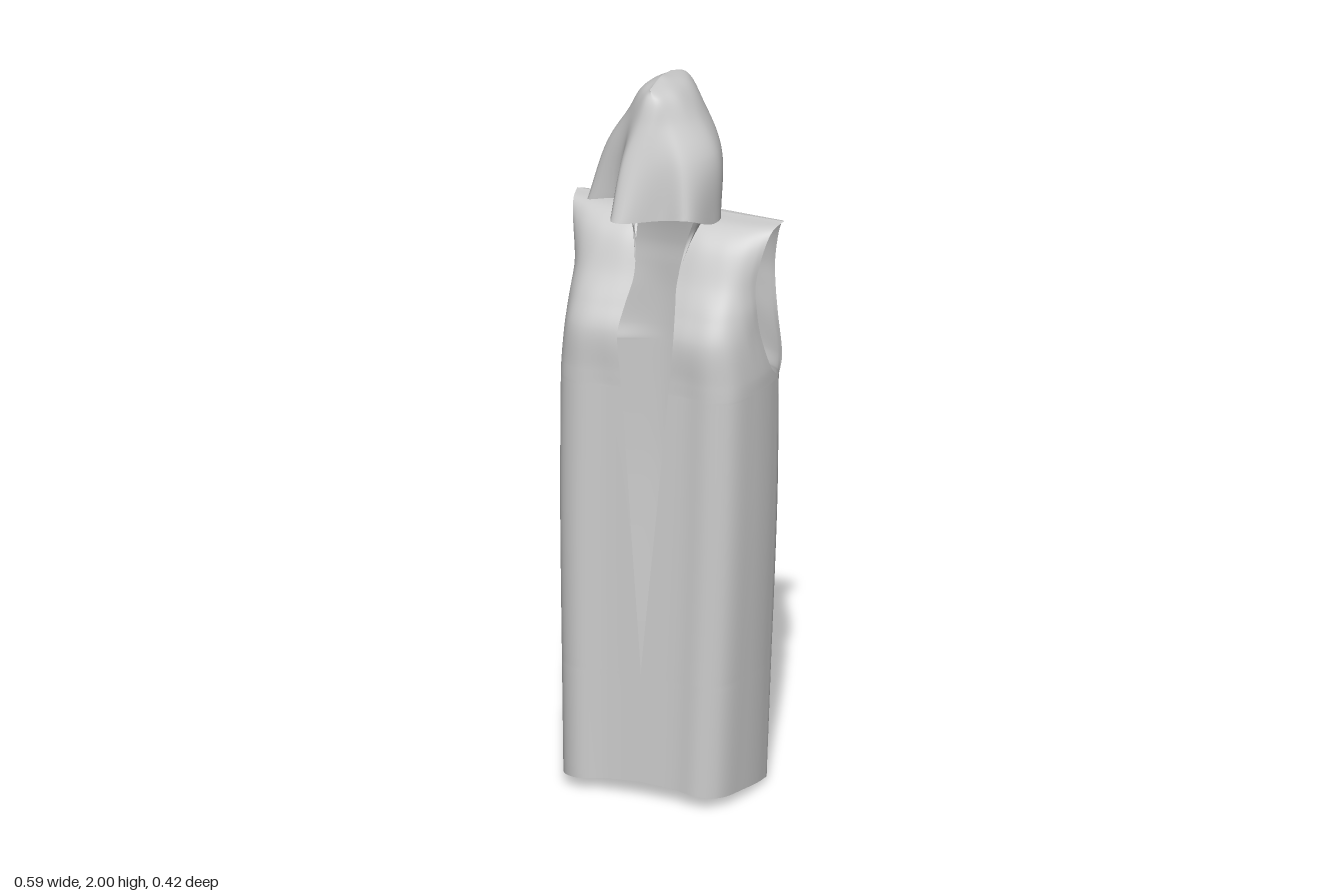
import * as THREE from 'three';
import { mergeGeometries, mergeVertices } from 'three/addons/utils/BufferGeometryUtils.js';

const cloth = new THREE.MeshStandardMaterial({ color: 0xcccccc, side: THREE.DoubleSide });
const V = (x, y, z) => new THREE.Vector3(x, y, z);

// Smooth cloth sheet through rows of points, lowest row first.
function sheet(rows, nu, nv, closed = false) {
  const across = rows.map(r => new THREE.CatmullRomCurve3(r, closed));
  const pos = [], idx = [];
  for (let i = 0; i <= nu; i++) {
    const column = new THREE.CatmullRomCurve3(across.map(c => c.getPoint(i / nu)));
    for (let j = 0; j <= nv; j++) {
      const p = column.getPoint(j / nv);
      pos.push(p.x, p.y, p.z);
      if (i < nu && j < nv) {
        const a = i * (nv + 1) + j, b = a + nv + 1;
        idx.push(a, b, b + 1, a, b + 1, a + 1);
      }
    }
  }
  const g = new THREE.BufferGeometry();
  g.setAttribute('position', new THREE.Float32BufferAttribute(pos, 3));
  g.setIndex(idx);
  return g;
}

// Copy across x = 0, keeping the faces turned outwards.
function mirrored(g) {
  const m = g.clone().scale(-1, 1, 1), a = m.index.array;
  for (let i = 0; i < a.length; i += 3) [a[i], a[i + 1]] = [a[i + 1], a[i]];
  return m;
}

function clothMesh(name, parts) {
  const g = mergeVertices(mergeGeometries(parts), 1e-4);
  g.computeVertexNormals();
  const mesh = new THREE.Mesh(g, cloth);
  mesh.name = name;
  return mesh;
}

// Half cross-sections [x, z]: front runs from the slit to the side, back from the side to the spine.
const FRONT = [[0, .148], [.11, .15], [.19, .16], [.245, .132], [.275, .05], [.286, -.02], [.286, -.08]];
const BACK = [[.286, -.08], [.262, -.135], [.195, -.173], [.1, -.206], [0, -.198]];

// Chest and shoulder sections, where the armhole parts front from back.
const UPPER_FRONT = [
  [1.20, [[.072, .148], [.12, .151], [.19, .159], [.243, .131], [.272, .06], [.283, .005], [.285, -.035]]],
  [1.31, [[.08, .146], [.12, .152], [.185, .154], [.23, .13], [.258, .075], [.267, .03], [.27, .005]]],
  [1.38, [[.072, .115], [.12, .123], [.175, .125], [.215, .11], [.245, .075], [.26, .035], [.264, .014]]],
  [1.45, [[.062, .078], [.11, .085], [.16, .085], [.2, .077], [.23, .058], [.25, .032], [.26, .012]]],
  [1.55, [[.075, .03], [.11, .035], [.15, .034], [.19, .03], [.23, .018], [.26, 0], [.276, -.013]]],
  [1.59, [[.085, -.015], [.11, -.015], [.15, -.017], [.19, -.02], [.23, -.025], [.26, -.033], [.287, -.042]]],
  [1.60, [[.085, -.09], [.11, -.09], [.15, -.09], [.19, -.09], [.23, -.09], [.265, -.09], [.297, -.09]]],
];
const UPPER_BACK = [
  [1.20, [[.279, -.12], [.257, -.142], [.195, -.173], [.1, -.198], [0, -.19]]],
  [1.31, [[.254, -.15], [.235, -.16], [.185, -.175], [.1, -.193], [0, -.186]]],
  [1.38, [[.242, -.163], [.225, -.168], [.18, -.177], [.1, -.187], [0, -.182]]],
  [1.45, [[.24, -.164], [.225, -.168], [.18, -.174], [.1, -.18], [0, -.176]]],
  [1.55, [[.262, -.14], [.24, -.145], [.19, -.15], [.1, -.152], [0, -.15]]],
  [1.59, [[.283, -.115], [.25, -.117], [.19, -.12], [.1, -.125], [0, -.132]]],
  [1.60, [[.297, -.09], [.25, -.09], [.19, -.09], [.085, -.09], [0, -.12]]],
];

function robe() {
  // Below the armholes one section is repeated; it narrows and leans forward towards the hem.
  const lower = [0, .34, .35, .8, 1.15, 1.16];
  const rows = (section, upper, isFront) => [
    ...lower.map(y => section.map(([x, z], i) => {
      const slit = isFront ? Math.max(0, y - .35) / .96 * .08 : 0;
      const wide = .915 + .085 * Math.min(1, y / .9);
      const hem = y > 0 ? 0 : Math.max(0, isFront ? .045 - .006 * i : .009 - .003 * i);
      const px = isFront && i < 2 ? x * wide + slit * (i ? .12 : 1) : x * wide;
      const lean = isFront ? .018 * (1 - y / 1.16) : .016 * Math.abs(1 - y / .8);
      return V(px, y + hem, z + THREE.MathUtils.smoothstep(Math.abs(z), .08, .16) * lean);
    })),
    ...upper.map(([y, pts]) => pts.map(([x, z]) => V(x, y, z))),
  ];
  const front = sheet(rows(FRONT, UPPER_FRONT, true), 28, 96);
  const back = sheet(rows(BACK, UPPER_BACK, false), 24, 96);
  const parts = [front, back, mirrored(front), mirrored(back)];
  // The skirt hangs slightly to one side.
  for (const { attributes: { position: p } } of parts) {
    for (let i = 0; i < p.count; i++) p.setX(i, p.getX(i) - .01 * Math.max(0, 1 - p.getY(i) / 1.2));
  }
  return clothMesh('robe', parts);
}

// Collar strip round the back of the neck, rising into the hood.
function collar() {
  const half = [
    [[.062, 1.47, .07], [.08, 1.55, .03], [.09, 1.595, -.03], [.07, 1.6, -.09], [0, 1.595, -.12]],
    [[.075, 1.56, .04], [.1, 1.6, .015], [.1, 1.615, -.03], [.07, 1.62, -.095], [0, 1.62, -.13]],
    [[.105, 1.64, .05], [.135, 1.635, .02], [.13, 1.635, -.03], [.085, 1.64, -.1], [0, 1.64, -.137]],
  ];
  const g = sheet(half.map(r => r.map(p => V(...p))), 20, 10);
  return clothMesh('collar', [g, mirrored(g)]);
}

// Draped hood: a folded, uneven rim rising in rings to a short ridge.
function hood() {
  const rim = [[-.077, 1.65, .2], [-.045, 1.65, .207], [.045, 1.65, .147], [.12, 1.66, .145], [.148, 1.62, .05],
    [.15, 1.615, -.01], [.105, 1.61, -.075], [.01, 1.605, -.122], [-.095, 1.62, -.09], [-.16, 1.635, -.03],
    [-.212, 1.63, .04], [-.1, 1.66, .07]];
  const rings = [
    [1.8, [[-.065, .15], [-.03, .158], [.05, .132], [.1, .115], [.145, .05], [.152, 0], [.11, -.09],
      [.01, -.166], [-.1, -.115], [-.145, -.045], [-.16, .03], [-.09, .085]]],
    [1.9, [[-.035, .118], [0, .122], [.03, .11], [.06, .09], [.09, .05], [.1, 0], [.07, -.09], [0, -.158],
      [-.08, -.1], [-.1, -.03], [-.1, .03], [-.07, .08]]],
    [1.97, [[-.02, .095], [0, .097], [.015, .09], [.03, .07], [.045, .04], [.045, -.01], [.035, -.07],
      [0, -.12], [-.045, -.07], [-.06, -.02], [-.06, .03], [-.04, .07]]],
  ];
  const ridge = [.07, .08, .07, .05, .025, 0, -.03, -.06, -.03, 0, .025, .05];
  return clothMesh('hood', [sheet([
    rim.map(p => V(...p)),
    ...rings.map(([y, pts]) => pts.map(([x, z]) => V(x, y, z))),
    ridge.map(z => V(-.015, 2 - Math.abs(z) * .12, z)),
  ], 72, 32, true)]);
}

export function createModel() {
  const model = new THREE.Group();
  model.name = 'hoodedCloak';
  model.add(robe(), collar(), hood());
  return model;
}
